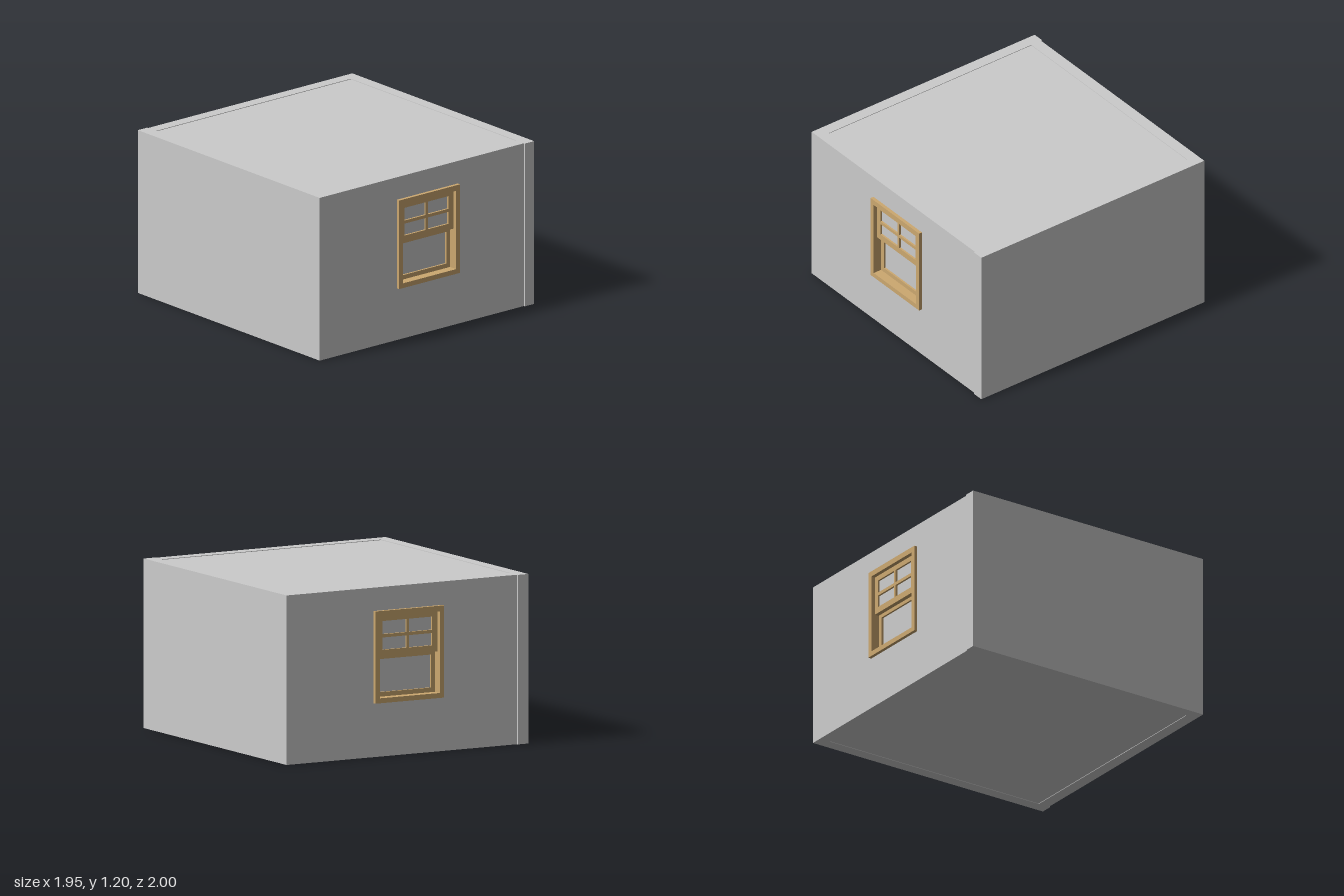
import * as THREE from 'three';

const grey = new THREE.MeshStandardMaterial({ color: 0xcccccc });
const wood = new THREE.MeshStandardMaterial({ color: 0xcca870 });

const HEIGHT = 1.195, INNER = 0.89, OUTER = 0.975, LIP = 0.985;

// Traces a rectangle on a shape or path
function rect(path, [x0, x1, y0, y1]) {
  path.moveTo(x0, y0);
  path.lineTo(x1, y0);
  path.lineTo(x1, y1);
  path.lineTo(x0, y1);
  path.closePath();
  return path;
}

// Rectangular board from z0 to z1 with rectangular openings
function panel(name, outline, holes, z0, z1, material) {
  const shape = rect(new THREE.Shape(), outline);
  for (const hole of holes) shape.holes.push(rect(new THREE.Path(), hole));
  const geometry = new THREE.ExtrudeGeometry(shape, { depth: z1 - z0, bevelEnabled: false });
  geometry.translate(0, 0, z0);
  const mesh = new THREE.Mesh(geometry, material);
  mesh.name = name;
  return mesh;
}

function box(name, [x0, x1, y0, y1, z0, z1], material) {
  const mesh = new THREE.Mesh(new THREE.BoxGeometry(x1 - x0, y1 - y0, z1 - z0), material);
  mesh.position.set((x0 + x1) / 2, (y0 + y1) / 2, (z0 + z1) / 2);
  mesh.name = name;
  return mesh;
}

// Rectangle grown by d on every side
const grow = ([x0, x1, y0, y1], d) => [x0 - d, x1 + d, y0 - d, y1 + d];

const OPENING = [-0.235, 0.25, 0.415, 0.99];
const JAMB = 0.015;

// Double-hung window: four panes above, one below
function createWindow() {
  const group = new THREE.Group();
  group.name = 'window';

  const casing = [-0.27, 0.285, 0.38, 1.03];
  group.add(
    panel('outerCasing', casing, [OPENING], OUTER, 1, wood),
    panel('innerCasing', casing, [OPENING], INNER - 0.025, INNER, wood),
    panel('jamb', grow(OPENING, JAMB), [OPENING], INNER, OUTER, wood)
  );

  // Upper sash sits forward, with glazing bars between its panes
  const panes = [];
  for (const [x0, x1] of [[-0.195, -0.003], [0.018, 0.205]])
    for (const [y0, y1] of [[0.75, 0.837], [0.86, 0.953]]) panes.push([x0, x1, y0, y1]);
  group.add(panel('upperSash', [-0.235, 0.25, 0.705, 0.99], panes, 0.937, 0.97, wood));
  group.add(box('upperGlass', [-0.21, 0.22, 0.73, 0.97, 0.951, 0.956], grey));

  // Lower sash sits behind it
  const lowerPane = [-0.202, 0.217, 0.447, 0.68];
  group.add(panel('lowerSash', [-0.235, 0.25, 0.415, 0.725], [lowerPane], 0.902, 0.935, wood));
  group.add(box('lowerGlass', [-0.21, 0.225, 0.44, 0.69, 0.916, 0.921], grey));
  return group;
}

export function createModel() {
  const model = new THREE.Group();
  model.name = 'room';

  // Each half holds a window wall and a plain wall; the second is turned half a circle
  for (const [i, side] of ['front', 'back'].entries()) {
    const half = new THREE.Group();
    half.name = side + 'Half';
    half.add(
      panel('windowWall', [-OUTER, INNER, 0, HEIGHT], [grow(OPENING, JAMB)], INNER, OUTER, grey),
      box('sideWall', [INNER, OUTER, 0, HEIGHT, -INNER, LIP], grey),
      createWindow()
    );
    half.rotation.y = i * Math.PI;
    model.add(half);
  }

  // Floor and ceiling, set very slightly inside the walls' edges
  const gap = 0.004;
  const span = [-INNER, INNER];
  model.add(
    box('floor', [...span, gap, 0.04, ...span], grey),
    box('ceiling', [...span, HEIGHT - 0.04, HEIGHT - gap, ...span], grey)
  );
  return model;
}
